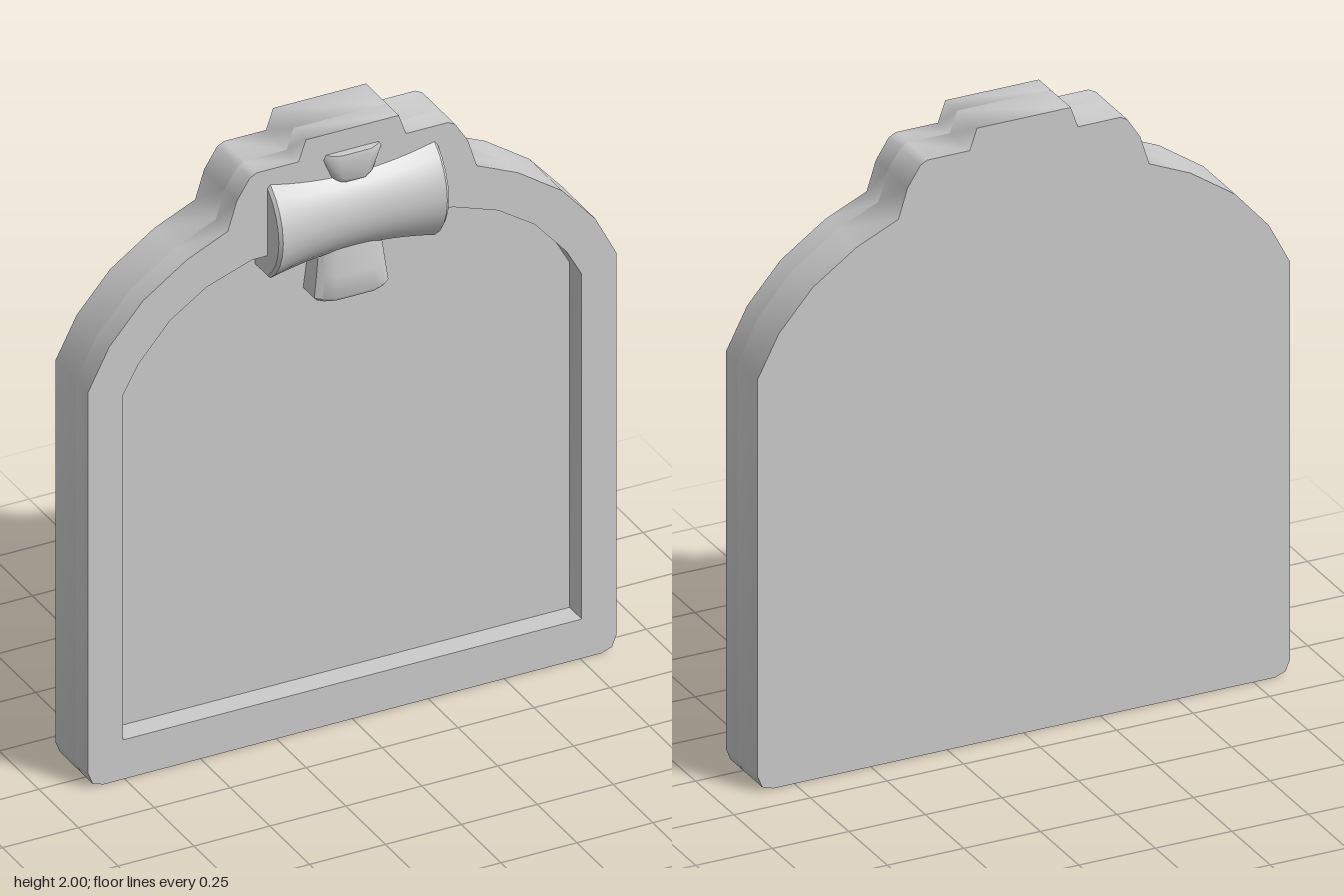
import * as THREE from 'three';
import { toCreasedNormals } from 'three/addons/utils/BufferGeometryUtils.js';

const BACK = -0.145, FLOOR = -0.015, FRONT = 0.062;
const material = new THREE.MeshStandardMaterial({ color: 0xcccccc });

// Closed symmetric outline from its right half, listed bottom to top
function mirrored(half) {
  const left = half.map(([x, y]) => [-x, y]).reverse();
  return [...half, ...left].map(([x, y]) => new THREE.Vector2(x, y));
}

function slab(shape, z0, z1) {
  const geo = new THREE.ExtrudeGeometry(shape, { depth: z1 - z0, bevelEnabled: false });
  geo.translate(0, 0, z0);
  return toCreasedNormals(geo, 1.25);
}

// Skin over equal-length closed rings of [x, y, z], capped at both ends
function loft(rings, crease) {
  const n = rings[0].length, index = [];
  for (let i = 0; i < rings.length - 1; i++) {
    for (let j = 0; j < n; j++) {
      const a = i * n + j, b = i * n + (j + 1) % n;
      index.push(a, b, a + n, b, b + n, a + n);
    }
  }
  const last = (rings.length - 1) * n;
  for (let j = 1; j < n - 1; j++) {
    index.push(0, j + 1, j, last, last + j, last + j + 1);
  }
  const geo = new THREE.BufferGeometry();
  geo.setAttribute('position', new THREE.Float32BufferAttribute(rings.flat(2), 3));
  geo.setIndex(index);
  return toCreasedNormals(geo, crease);
}

// Saddle-shaped bar: domed cross-sections that swell towards both ends
function barGeometry() {
  const steps = 16, arc = 8, cy = 1.722;
  const section = (x, h, top) => {
    const rise = top - FRONT, r = (h * h + rise * rise) / (2 * rise);
    const half = Math.asin(h / r);
    const ring = [[x, cy - h, FLOOR]];
    for (let k = 0; k <= arc; k++) {
      const t = -half + 2 * half * k / arc;
      ring.push([x, cy + r * Math.sin(t), top - r + r * Math.cos(t)]);
    }
    ring.push([x, cy + h, FLOOR]);
    return ring;
  };
  // Sections run from the left end to the right, so the skin faces outwards
  const rings = [section(0.28, 0.147, 0.135)];
  for (let i = 0; i <= steps; i++) {
    const u = 1 - 2 * i / steps;
    rings.push(section(0.27 * u, 0.124 + 0.034 * u * u, 0.12 + 0.024 * u * u));
  }
  rings.push(section(-0.28, 0.147, 0.135));
  return loft(rings, 0.7);
}

// Strap end: chamfered sections [y, halfWidth, frontZ] stacked upwards
function tabGeometry(levels) {
  const profile = [[-1, 0], [-1, 0.7], [-0.85, 0.87], [-0.55, 1], [0.55, 1], [0.85, 0.87], [1, 0.7], [1, 0]];
  const rings = levels.map(([y, w, front]) =>
    profile.map(([px, pz]) => [px * w, y, FLOOR + pz * (front - FLOOR)]));
  return loft(rings, 0.8);
}

export function createModel() {
  const model = new THREE.Group();
  const add = (name, geometry) => {
    const mesh = new THREE.Mesh(geometry, material);
    mesh.name = name;
    model.add(mesh);
  };

  // Arched body with a stepped crown
  const outline = mirrored([
    [0.82, 0], [0.855, 0.012], [0.87, 0.05], [0.87, 1.34], [0.8, 1.475], [0.69, 1.6],
    [0.545, 1.7], [0.41, 1.76], [0.38, 1.855], [0.338, 1.92], [0.315, 1.932],
    [0.177, 1.932], [0.153, 2],
  ]);
  const opening = mirrored([
    [0.755, 0.133], [0.755, 1.3], [0.705, 1.39], [0.6, 1.51], [0.48, 1.59], [0.33, 1.642],
  ]);
  add('backPlate', slab(new THREE.Shape(outline), BACK, FLOOR));
  const frame = new THREE.Shape(outline);
  frame.holes.push(new THREE.Path(opening));
  add('raisedFrame', slab(frame, FLOOR, FRONT));

  // Clasp at the top of the frame
  add('claspBar', barGeometry());
  add('upperTab', tabGeometry([
    [1.835, 0.06, 0.082], [1.85, 0.072, 0.086], [1.915, 0.098, 0.09], [1.93, 0.09, 0.088],
  ]));
  add('lowerTab', tabGeometry([
    [1.44, 0.112, 0.078], [1.452, 0.122, 0.085], [1.52, 0.113, 0.08], [1.63, 0.1, 0.07],
  ]));

  return model;
}
